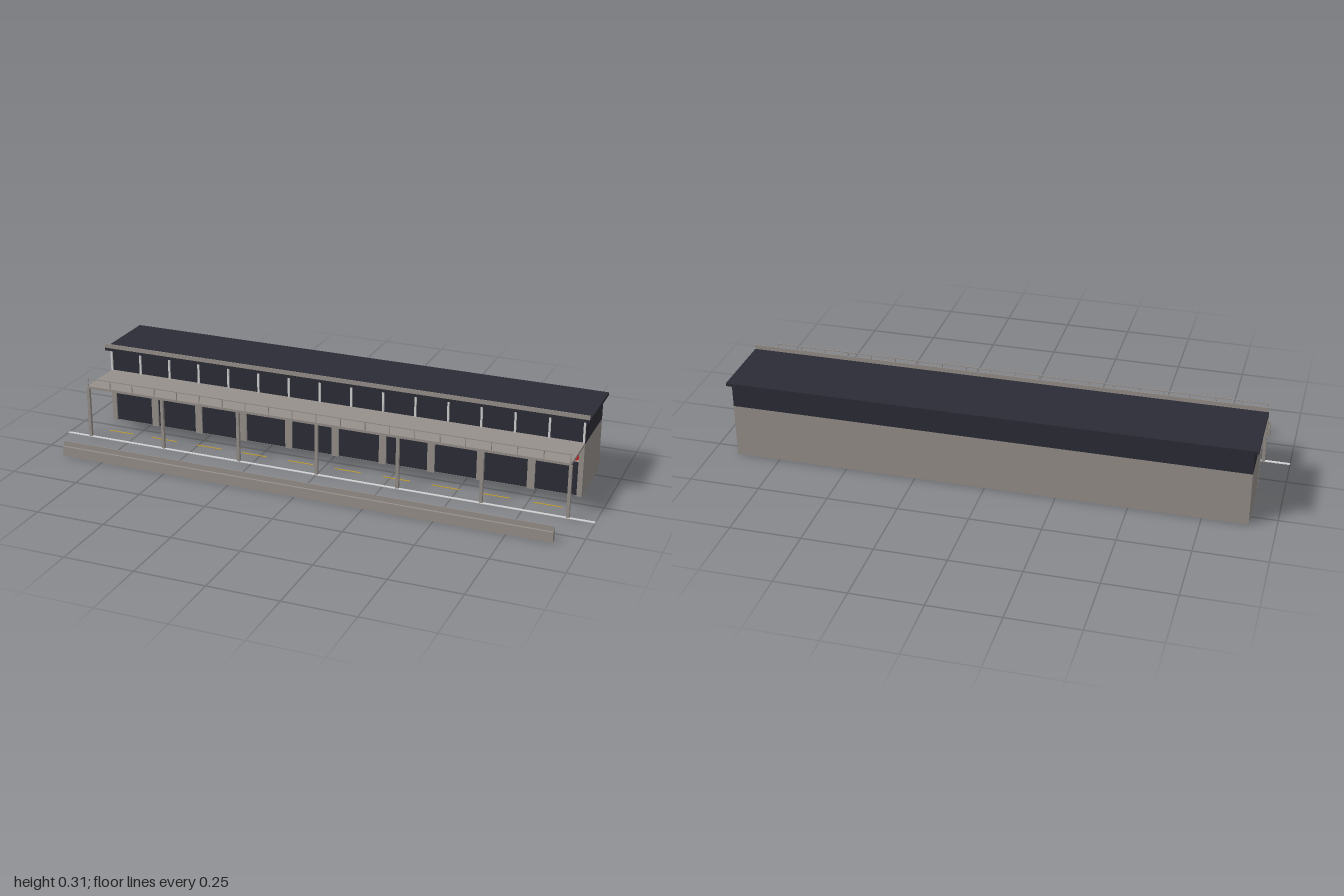
import * as THREE from 'three';

const mat = (name, color) => {
  const m = new THREE.MeshStandardMaterial({ color });
  m.name = name;
  return m;
};

export function createModel() {
  const concrete = mat('warm grey concrete', 0x96908b);
  const dark = mat('dark slate', 0x2c2c36);
  const light = mat('light grey', 0xd2d2d2);
  const red = mat('red', 0xcc1f1a);
  const yellow = mat('yellow', 0xd2a528);
  const blue = mat('blue', 0x2a9fc8);

  const root = new THREE.Group();
  root.name = 'pitBuilding';

  const group = (name) => {
    const g = new THREE.Group();
    g.name = name;
    root.add(g);
    return g;
  };

  // Box given by its extents along each axis
  const box = (parent, name, material, [x0, x1], [y0, y1], [z0, z1]) => {
    const mesh = new THREE.Mesh(new THREE.BoxGeometry(x1 - x0, y1 - y0, z1 - z0), material);
    mesh.position.set((x0 + x1) / 2, (y0 + y1) / 2, (z0 + z1) / 2);
    mesh.name = name;
    parent.add(mesh);
    return mesh;
  };
  const around = (c, w) => [c - w / 2, c + w / 2];

  const HALF = 0.908;   // half length of the building
  const FRONT = -0.06;  // facade plane

  // Main volumes
  const building = group('building');
  box(building, 'groundFloor', concrete, [-HALF, HALF], [0, 0.195], [-0.3, FRONT]);
  box(building, 'upperFloor', dark, [-HALF, HALF], [0.195, 0.28], [-0.3, FRONT]);
  box(building, 'roofSlab', dark, [-0.923, 0.923], [0.28, 0.291], [-0.315, -0.043]);
  box(building, 'roofParapet', concrete, [-0.923, 0.923], [0.291, 0.307], [-0.0455, -0.043]);

  // Upper window mullions
  const windows = group('upperWindows');
  const panes = 15;
  for (let i = 0; i <= panes; i++) {
    const x = -0.904 + (1.808 * i) / panes;
    box(windows, 'mullion', light, around(x, 0.007), [0.2, 0.28], [FRONT, -0.054]);
  }

  // Garage bays with pillars and alternating signs
  const garages = group('garages');
  const bays = 10;
  const pitch = 0.182;
  for (let i = 0; i <= bays; i++) {
    const x = THREE.MathUtils.clamp(-0.91 + i * pitch, -0.9, 0.9);
    const w = i === 0 || i === bays ? 0.018 : 0.027;
    box(garages, 'pillar', concrete, around(x, w), [0, 0.195], [FRONT, -0.052]);
  }
  for (let i = 0; i < bays; i++) {
    const x = -0.91 + (i + 0.5) * pitch;
    const w = 0.155;
    box(garages, 'garageDoor', dark, around(x, w), [0.002, 0.132], [FRONT, -0.058]);
    box(garages, 'signBoard', i % 2 ? red : dark, around(x, w), [0.132, 0.164], [FRONT, -0.056]);
    box(garages, 'signPatch', light, around(x - 0.056, 0.032), [0.14, 0.158], [-0.056, -0.0545]);
    box(garages, 'signStripe', yellow, around(x + 0.02, 0.085), [0.143, 0.155], [-0.056, -0.0545]);
    box(garages, 'signTrim', light, around(x, w), [0.128, 0.132], [FRONT, -0.055]);
  }

  // Canopy over the pit apron, carried on posts
  const canopy = group('canopy');
  box(canopy, 'canopyDeck', concrete, [-HALF, HALF], [0.191, 0.2], [-0.0595, 0.124]);
  for (let i = -3; i <= 3; i++) {
    box(canopy, 'canopyPost', concrete, around(i * 0.302, 0.011), [0, 0.191], [0.114, 0.125]);
  }

  // Guard rail along the canopy edge
  const rail = group('canopyRail');
  const spans = 20;
  box(rail, 'handRail', concrete, [-HALF, HALF], [0.229, 0.232], [0.1205, 0.1235]);
  for (let i = 0; i <= spans; i++) {
    const x = -0.905 + (1.81 * i) / spans;
    box(rail, 'railPost', concrete, around(x, 0.003), [0.2, 0.229], [0.1208, 0.1232]);
  }

  // Lane markings
  const markings = group('laneMarkings');
  box(markings, 'laneLine', light, [-1, 1], [0, 0.002], [0.1165, 0.1275]);
  for (let i = 0; i < bays; i++) {
    const x = -0.91 + (i + 0.5) * pitch;
    box(markings, 'laneDash', yellow, around(x, 0.1), [0, 0.002], [0.048, 0.051]);
  }

  // Pit wall with thin screen on top
  const wall = group('pitWall');
  box(wall, 'wallBase', concrete, [-HALF, HALF], [0, 0.037], [0.298, 0.317]);
  box(wall, 'wallScreen', concrete, [-HALF, HALF], [0.037, 0.056], [0.3065, 0.309]);

  // Timing stands behind the wall
  for (let i = 0; i < 6; i++) {
    const x = (i - 2.5) * 0.303;
    box(wall, 'timingStand', dark, around(x, 0.072), [0, 0.025], [0.287, 0.298]);
    box(wall, 'timingStandTop', blue, around(x, 0.072), [0.025, 0.027], [0.287, 0.298]);
  }

  return root;
}
